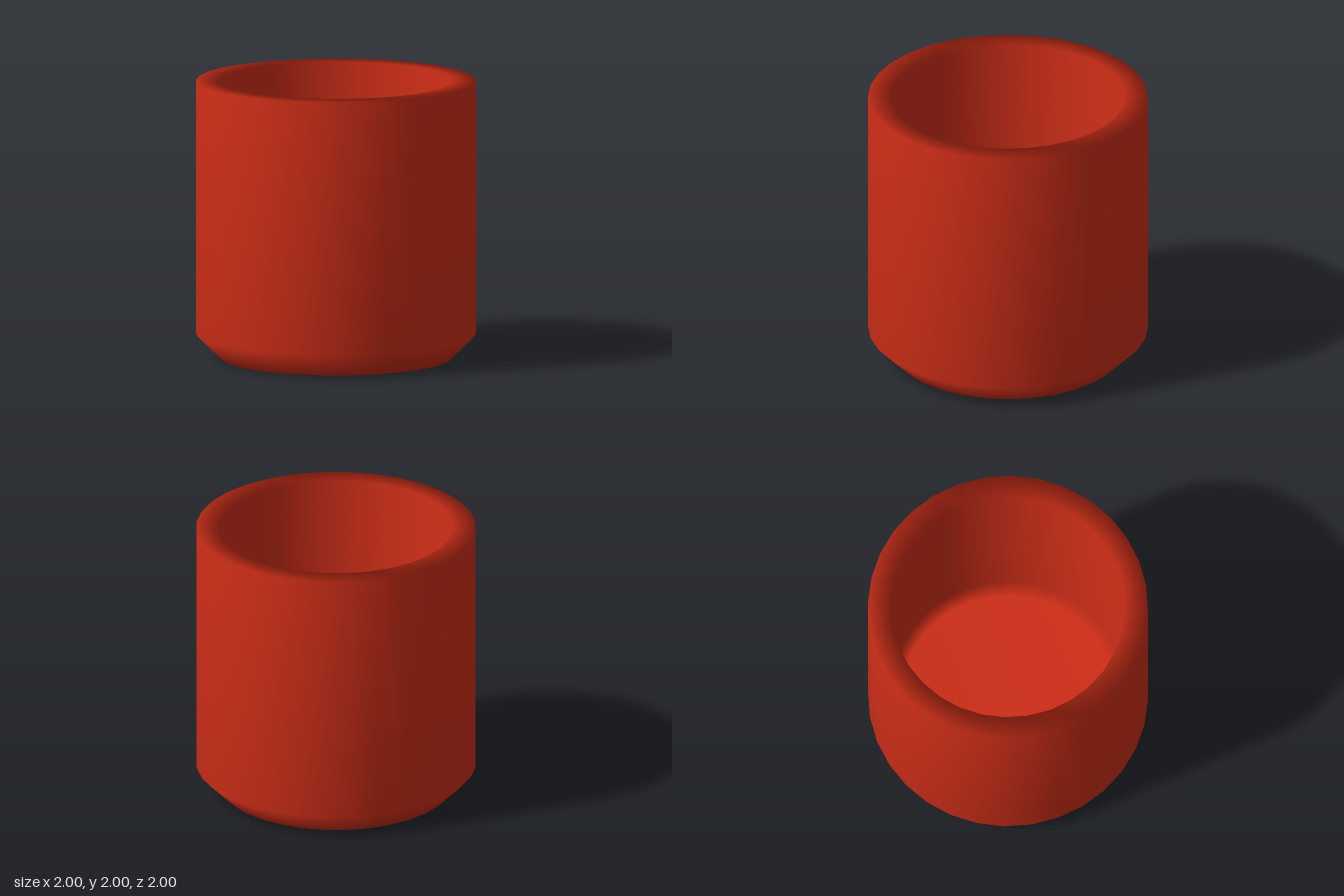
import * as THREE from 'three';

export function createModel() {
  const group = new THREE.Group();
  group.name = 'cup';
  const material = new THREE.MeshStandardMaterial({ color: 0xcc2d17 });

  const radius = 1, height = 2, wall = 0.165, chamfer = 0.175;
  // Shift of the inner chamfer corners that keeps the wall thickness even
  const shift = wall * Math.tan(Math.PI / 8);

  // Closed wall profile: underside, outside, rim, inside, floor
  const profile = [
    [0, 0],
    [radius - chamfer, 0],
    [radius, chamfer],
    [radius, height],
    [radius - wall, height],
    [radius - wall, chamfer + shift],
    [radius - chamfer - shift, wall],
    [0, wall],
  ].map(([x, y]) => new THREE.Vector2(x, y));

  const body = new THREE.Mesh(new THREE.LatheGeometry(profile, 32), material);
  body.name = 'cupBody';
  group.add(body);
  return group;
}
